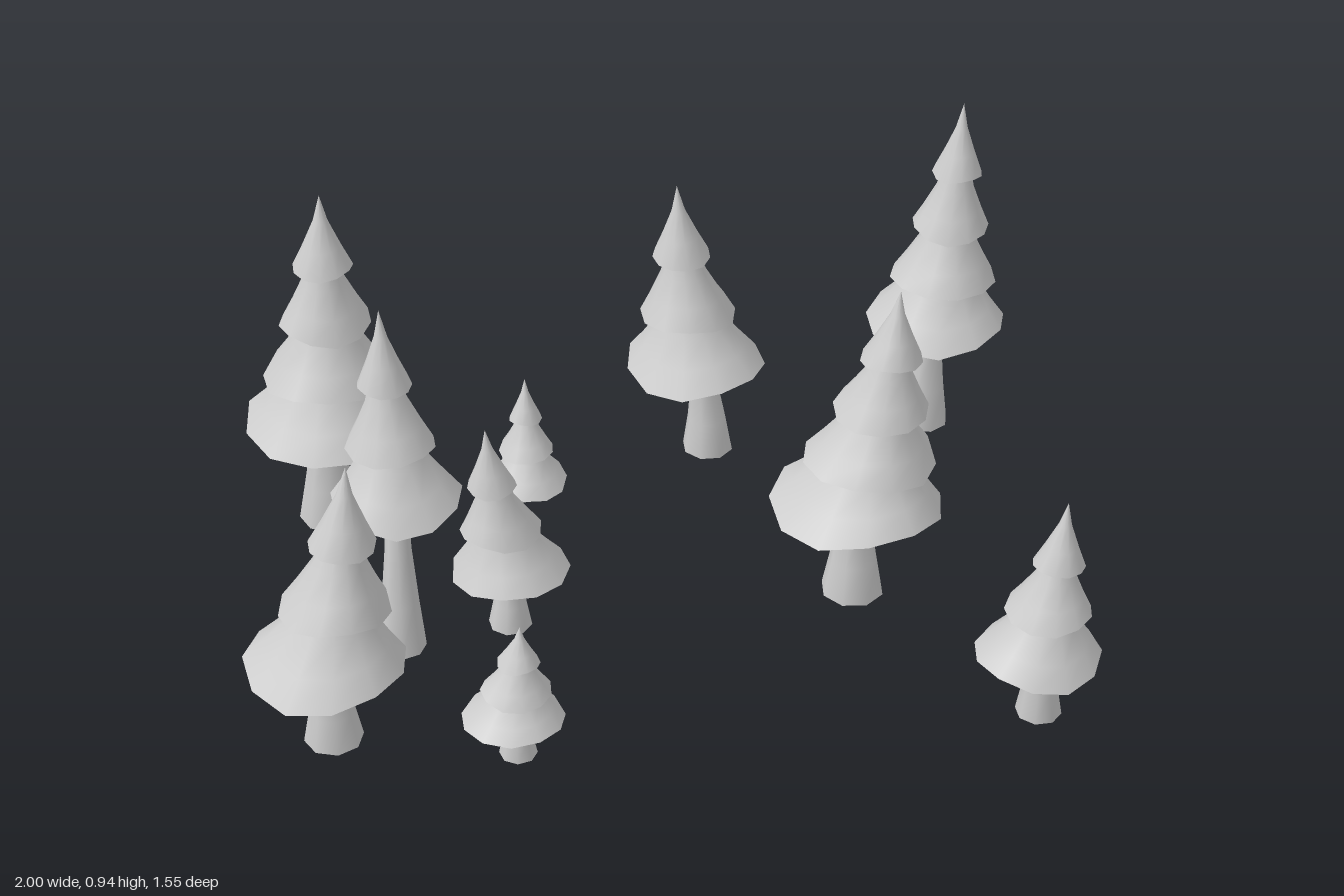
import * as THREE from 'three';
import { mergeGeometries } from 'three/addons/utils/BufferGeometryUtils.js';

const material = new THREE.MeshStandardMaterial({ color: 0xcccccc, side: THREE.DoubleSide });

// Per tree: tier count, trunk foot [x, z], lowest skirt [x, y, z], its radius, tip [x, y, z]
const makeSpec = (count, foot, skirt, radius, tip) => ({ count, foot, skirt, radius, tip });
const trees = [
  makeSpec(4, [-0.76, -0.41], [-0.748, 0.3, -0.41], 0.208, [-0.738, 0.94, -0.41]),
  makeSpec(3, [-0.285, -0.42], [-0.265, 0.09, -0.375], 0.1, [-0.262, 0.37, -0.41]),
  makeSpec(3, [0.225, -0.57], [0.193, 0.268, -0.58], 0.177, [0.145, 0.78, -0.595]),
  makeSpec(4, [0.8, -0.61], [0.818, 0.32, -0.605], 0.178, [0.862, 0.945, -0.61]),
  makeSpec(3, [-0.625, 0.14], [-0.618, 0.4, 0.08], 0.156, [-0.635, 0.9, 0.045]),
  makeSpec(3, [-0.36, 0.09], [-0.355, 0.168, 0.08], 0.143, [-0.408, 0.585, 0.1]),
  makeSpec(4, [0.48, 0.075], [0.48, 0.278, 0.082], 0.21, [0.562, 0.87, 0.09]),
  makeSpec(3, [-0.81, 0.455], [-0.818, 0.235, 0.46], 0.188, [-0.745, 0.76, 0.445]),
  makeSpec(3, [-0.395, 0.57], [-0.405, 0.122, 0.575], 0.12, [-0.385, 0.38, 0.58]),
  makeSpec(3, [0.82, 0.595], [0.797, 0.208, 0.628], 0.147, [0.84, 0.63, 0.63]),
];

const mix = THREE.MathUtils.lerp;

// Skin through rings [x, y, z, radius, wobble]; wobble lifts and drops the ring unevenly
function loft(rings, sides, phase) {
  const positions = [], index = [];
  rings.forEach(([x, y, z, r, wobble = 0], i) => {
    for (let j = 0; j < sides; j++) {
      const a = phase + (j / sides) * Math.PI * 2;
      const uneven = Math.sin(a * 2 + phase * 3) + 0.6 * Math.sin(a * 3 + phase);
      positions.push(x + Math.cos(a) * r, y + wobble * uneven, z + Math.sin(a) * r);
      if (i === 0) continue;
      const next = (j + 1) % sides, low = (i - 1) * sides, high = i * sides;
      index.push(low + j, high + j, low + next, high + j, high + next, low + next);
    }
  });
  const geometry = new THREE.BufferGeometry();
  geometry.setAttribute('position', new THREE.Float32BufferAttribute(positions, 3));
  geometry.setIndex(index);
  geometry.computeVertexNormals();
  return geometry;
}

// Rim of tier i (0 is the topmost), following the bend of the crown from tip to lowest skirt
function tierRim({ count, skirt, radius, tip }, i) {
  const f = ((i + 1) / count) ** 0.85;
  const bend = f ** 1.5;
  return {
    center: [mix(tip[0], skirt[0], bend), mix(tip[1], skirt[1], f), mix(tip[2], skirt[2], bend)],
    r: radius * mix(0.22, 1, bend),
  };
}

// One flared skirt: hollow underside, then the concave outer slope up to its top
function tierGeometry({ center, r }, top, topRadius, phase) {
  const at = (t, radius, wobble) => [...center.map((c, k) => mix(c, top[k], t)), radius, wobble];
  const wobble = r * 0.06;
  const under = loft([at(0.55, topRadius * 0.5), at(0.3, r * 0.45), at(0, r, wobble)], 11, phase);
  const over = loft([
    at(0, r, wobble),
    at(0.3, mix(topRadius, r, 0.63), wobble * 0.5),
    at(0.65, mix(topRadius, r, 0.24)),
    at(1, topRadius),
  ], 11, phase);
  return mergeGeometries([under, over]);
}

// Trunk with a wide foot, thinning quickly and bending into the crown
function trunkGeometry({ foot: [x, z], skirt, radius }, phase) {
  const r = radius * 0.37;
  const height = skirt[1] + 0.07;
  const base = [x, 0.008, z, r];
  const rings = [[0.3, 0.08, 0.77], [0.6, 0.3, 0.55], [1, 0.8, 0.42]].map(([t, bend, width]) =>
    [mix(x, skirt[0], bend), height * t, mix(z, skirt[2], bend), r * width]);
  const cap = loft([[x, 0, z, 0], base], 8, phase);
  const bark = loft([base, ...rings], 8, phase);
  return mergeGeometries([cap, bark]);
}

function createTree(spec, seed) {
  const tree = new THREE.Group();
  tree.name = `pineTree${seed + 1}`;
  const add = (name, geometry) => {
    const mesh = new THREE.Mesh(geometry, material);
    mesh.name = name;
    tree.add(mesh);
  };
  add('trunk', trunkGeometry(spec, seed));
  // Each tier tucks its top inside the one above; the first ends in the tip
  let top = spec.tip, topRadius = 0;
  for (let i = 0; i < spec.count; i++) {
    const rim = tierRim(spec, i);
    add(`foliageTier${i + 1}`, tierGeometry(rim, top, topRadius, seed * 1.3 + i * 0.8));
    const [x, y, z] = rim.center;
    top = [x, y + rim.r * 0.3, z];
    topRadius = rim.r * 0.5;
  }
  return tree;
}

export function createModel() {
  const forest = new THREE.Group();
  forest.name = 'pineForest';
  trees.forEach((spec, i) => forest.add(createTree(spec, i)));
  return forest;
}
